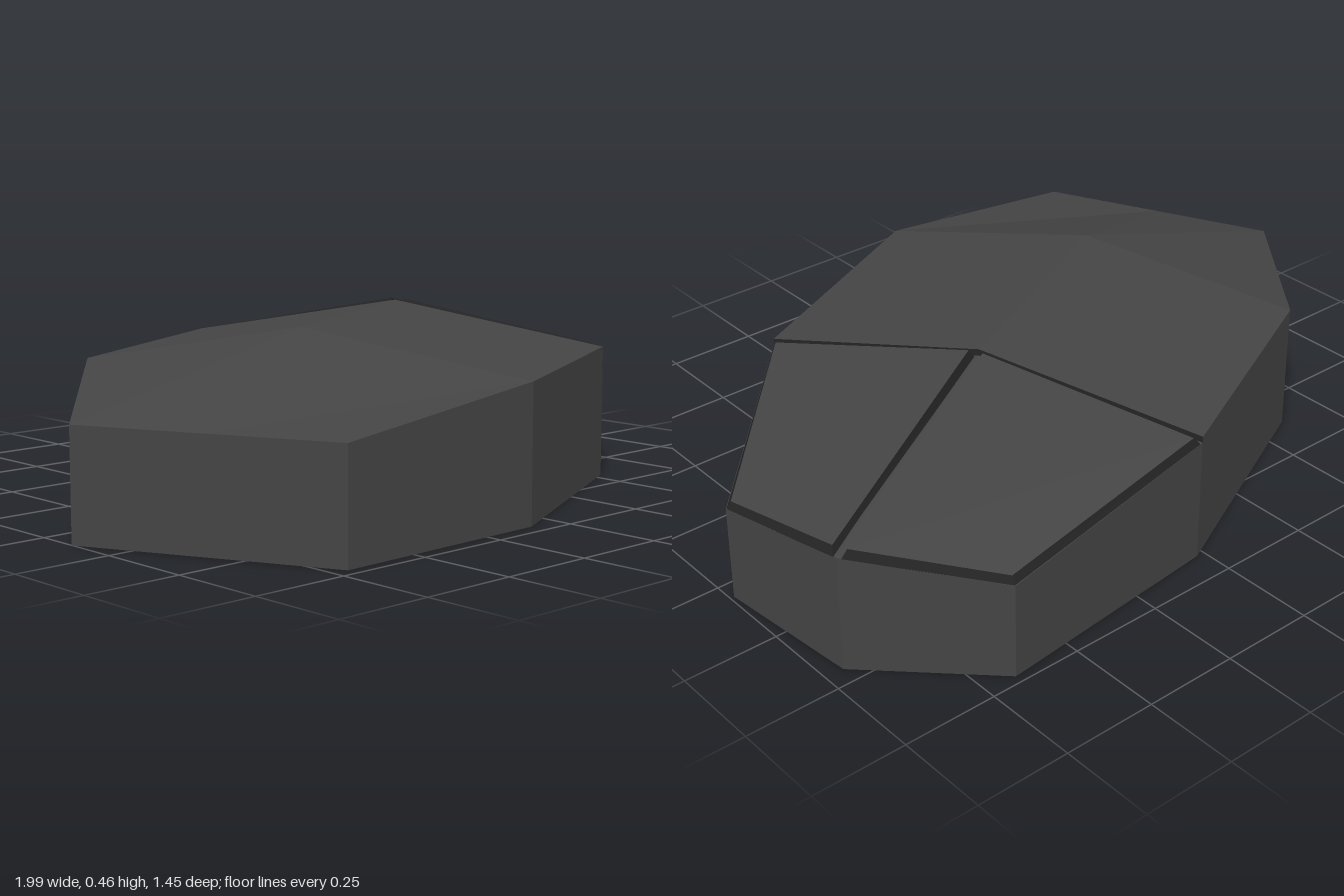
import * as THREE from 'three';

const shell = new THREE.MeshStandardMaterial({ color: 0x444444 });
shell.name = 'charcoal shell';
const seam = new THREE.MeshStandardMaterial({ color: 0x242424 });
seam.name = 'dark seam';

// Faceted mesh from polygons, each fanned into triangles
function facets(name, polygons, material) {
  const pos = [];
  for (const p of polygons)
    for (let i = 1; i < p.length - 1; i++) pos.push(...p[0], ...p[i], ...p[i + 1]);
  const geo = new THREE.BufferGeometry();
  geo.setAttribute('position', new THREE.Float32BufferAttribute(pos, 3));
  geo.computeVertexNormals();
  const mesh = new THREE.Mesh(geo, material);
  mesh.name = name;
  return mesh;
}

// House-shaped cross-section: half width w, side height h, ridge height r
const ring = ([x, w, h, r]) => [[x, 0, -w], [x, h, -w], [x, r, 0], [x, h, w], [x, 0, w]];

function loft(stations) {
  const faces = [];
  const rings = stations.map(ring);
  for (let s = 0; s < rings.length - 1; s++) {
    const a = rings[s], b = rings[s + 1];
    for (let i = 0; i < 5; i++) {
      const j = (i + 1) % 5;
      faces.push([a[i], a[j], b[j], b[i]]);
    }
  }
  return faces;
}

export function createModel() {
  const model = new THREE.Group();
  model.name = 'computerMouse';

  // Palm shell, closed at the rear
  const rear = [[-0.951, 0.338, 0.28, 0.28], [-0.387, 0.592, 0.35, 0.455], [0.306, 0.592, 0.35, 0.455]];
  model.add(facets('palmShell', [ring(rear[0]).reverse(), ...loft(rear)], shell));

  // Step down to the button bed
  const bed = [[0.306, 0.592, 0.333, 0.437], [0.915, 0.373, 0.255, 0.338], [1.051, 0, 0.312, 0.312]];
  model.add(facets('buttonStep', loft([rear[2], bed[0]]), seam));
  model.add(facets('frontBody', loft(bed), shell));

  // Two raised buttons with dark bevelled edges
  const top = [[0.325, 0.458, 0.019], [0.325, 0.353, 0.575], [0.908, 0.276, 0.362], [1.034, 0.331, 0.019]];
  const base = [[0.312, 0.435, 0.01], [0.312, 0.331, 0.59], [0.915, 0.254, 0.372], [1.048, 0.31, 0.01]];
  for (const side of [1, -1]) {
    const label = side > 0 ? 'front' : 'back';
    const place = (f) => {
      const p = f.map(([x, y, z]) => [x, y, z * side]);
      return side > 0 ? p : p.reverse();
    };
    const edges = top.map((t, i) => {
      const j = (i + 1) % 4;
      return place([t, base[i], base[j], top[j]]);
    });
    const button = new THREE.Group();
    button.name = label + 'Button';
    button.add(facets(label + 'ButtonTop', [place(top)], shell));
    button.add(facets(label + 'ButtonEdge', edges, seam));
    model.add(button);
  }

  // The whole body sits turned on the ground
  model.rotation.y = 0.447;
  model.position.set(0.003, 0, 0.004);
  const root = new THREE.Group();
  root.name = 'model';
  root.add(model);
  return root;
}
